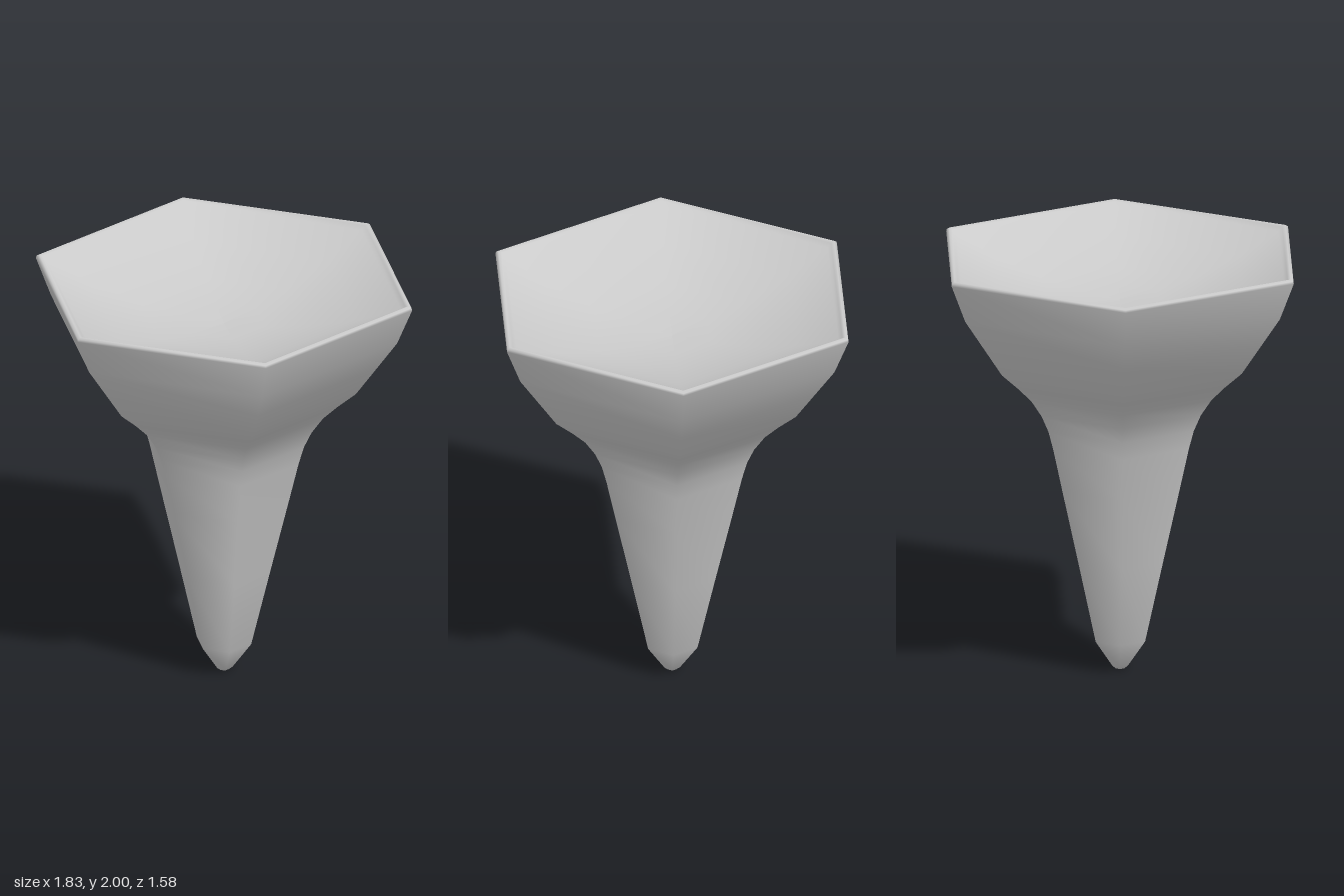
import * as THREE from 'three';

// Corner radius and height, from the tip up the outside and down into the cup
const PROFILE = [
  [0, 0], [0.022, 0.005], [0.042, 0.022],                     // rounded tip
  [0.132, 0.15], [0.225, 0.54], [0.312, 0.9], [0.362, 1.11],  // tapering stem
  [0.388, 1.2], [0.425, 1.28], [0.48, 1.36], [0.55, 1.43],    // flared neck
  [0.64, 1.51], [0.74, 1.655], [0.84, 1.8], [0.913, 1.98],    // head
  [0.91, 1.992], [0.897, 2], [0.88, 1.993], [0.86, 1.975],    // rim
  [0.65, 1.89], [0.4, 1.82], [0.2, 1.79], [0, 1.78],          // shallow cup
];

export function createModel() {
  const group = new THREE.Group();
  group.name = 'hexagonalTee';

  // Six-sided body with corners on the x axis
  const points = PROFILE.map(([r, y]) => new THREE.Vector2(r, y));
  const geometry = new THREE.LatheGeometry(points, 6, Math.PI / 2);
  const body = new THREE.Mesh(geometry, new THREE.MeshStandardMaterial({ color: 0xcccccc }));
  body.name = 'teeBody';
  group.add(body);
  return group;
}
